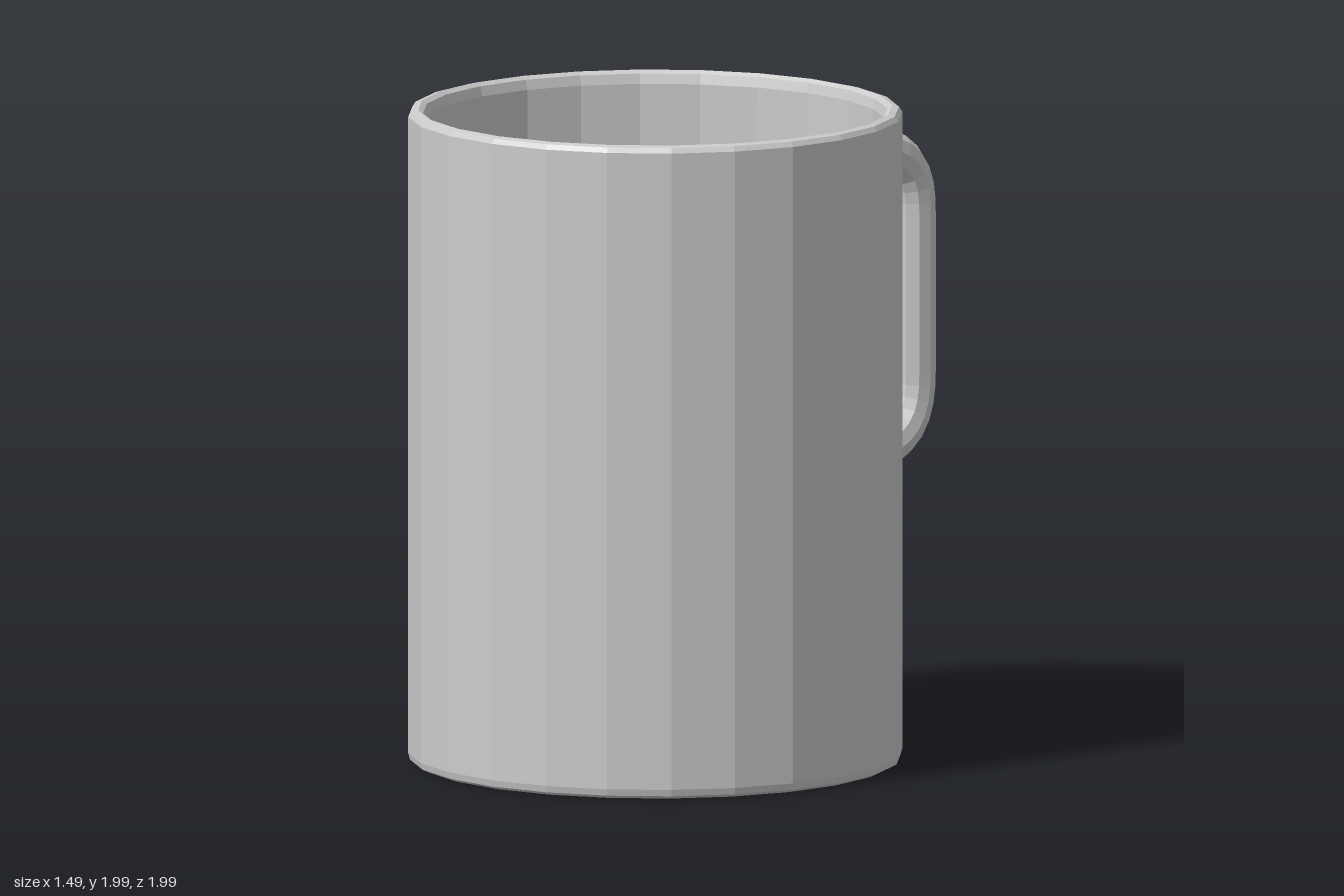
import * as THREE from 'three';

const material = new THREE.MeshStandardMaterial({ color: 0xcccccc, flatShading: true });
const CENTRE_Z = 0.25;

// Hollow 24-sided cup: underside, outer wall, rim, inner wall and floor in one profile
function createCup() {
  const profile = [
    [0, 0], [0.72, 0], [0.74, 0.01], [0.745, 0.03],
    [0.745, 0.7], [0.745, 0.8], [0.745, 1.8], [0.745, 1.87],
    [0.745, 1.97], [0.735, 1.985], [0.715, 1.99], [0.7, 1.98],
    [0.692, 1.95], [0.69, 0.09], [0.67, 0.06], [0, 0.06],
  ].map(([r, y]) => new THREE.Vector2(r, y));
  const geometry = new THREE.LatheGeometry(profile, 24);

  // The back of the wall swells slightly where the handle joins
  const pos = geometry.attributes.position;
  for (let i = 0; i < pos.count; i++) {
    const y = pos.getY(i);
    if (Math.abs(pos.getX(i)) < 0.01 && pos.getZ(i) < -0.74 && y > 0.6 && y < 1.9) {
      pos.setZ(i, pos.getZ(i) - 0.028);
    }
  }
  geometry.computeVertexNormals();
  const cup = new THREE.Mesh(geometry, material);
  cup.name = 'cup';
  cup.position.z = CENTRE_Z;
  return cup;
}

// Rounded handle with sloping arms, swept along a path in the x = 0 plane
function createHandle() {
  const v = (y, z) => new THREE.Vector3(0, y, z);
  const path = new THREE.CurvePath();
  path.add(new THREE.LineCurve3(v(1.795, -0.48), v(1.745, -0.76)));
  path.add(new THREE.CubicBezierCurve3(v(1.745, -0.76), v(1.72, -0.87), v(1.67, -0.935), v(1.54, -0.935)));
  path.add(new THREE.LineCurve3(v(1.54, -0.935), v(1.02, -0.935)));
  path.add(new THREE.CubicBezierCurve3(v(1.02, -0.935), v(0.89, -0.93), v(0.84, -0.86), v(0.82, -0.77)));
  path.add(new THREE.LineCurve3(v(0.82, -0.77), v(0.775, -0.48)));

  const segments = 36, sides = 10;
  const geometry = new THREE.TubeGeometry(path, segments, 0.064, sides, false);

  // Flare both ends into the wall
  const pos = geometry.attributes.position;
  const p = new THREE.Vector3();
  for (let ring = 0; ring <= segments; ring++) {
    const centre = path.getPointAt(ring / segments);
    const flare = 1 + 0.35 * Math.max(0, (centre.z + 0.57) / 0.09);
    for (let s = 0; s <= sides; s++) {
      const i = ring * (sides + 1) + s;
      p.fromBufferAttribute(pos, i).sub(centre).multiplyScalar(flare).add(centre);
      pos.setXYZ(i, p.x, p.y, p.z);
    }
  }
  geometry.computeVertexNormals();
  const handle = new THREE.Mesh(geometry, material);
  handle.name = 'handle';
  return handle;
}

export function createModel() {
  const mug = new THREE.Group();
  mug.name = 'mug';
  mug.add(createCup(), createHandle());
  return mug;
}
